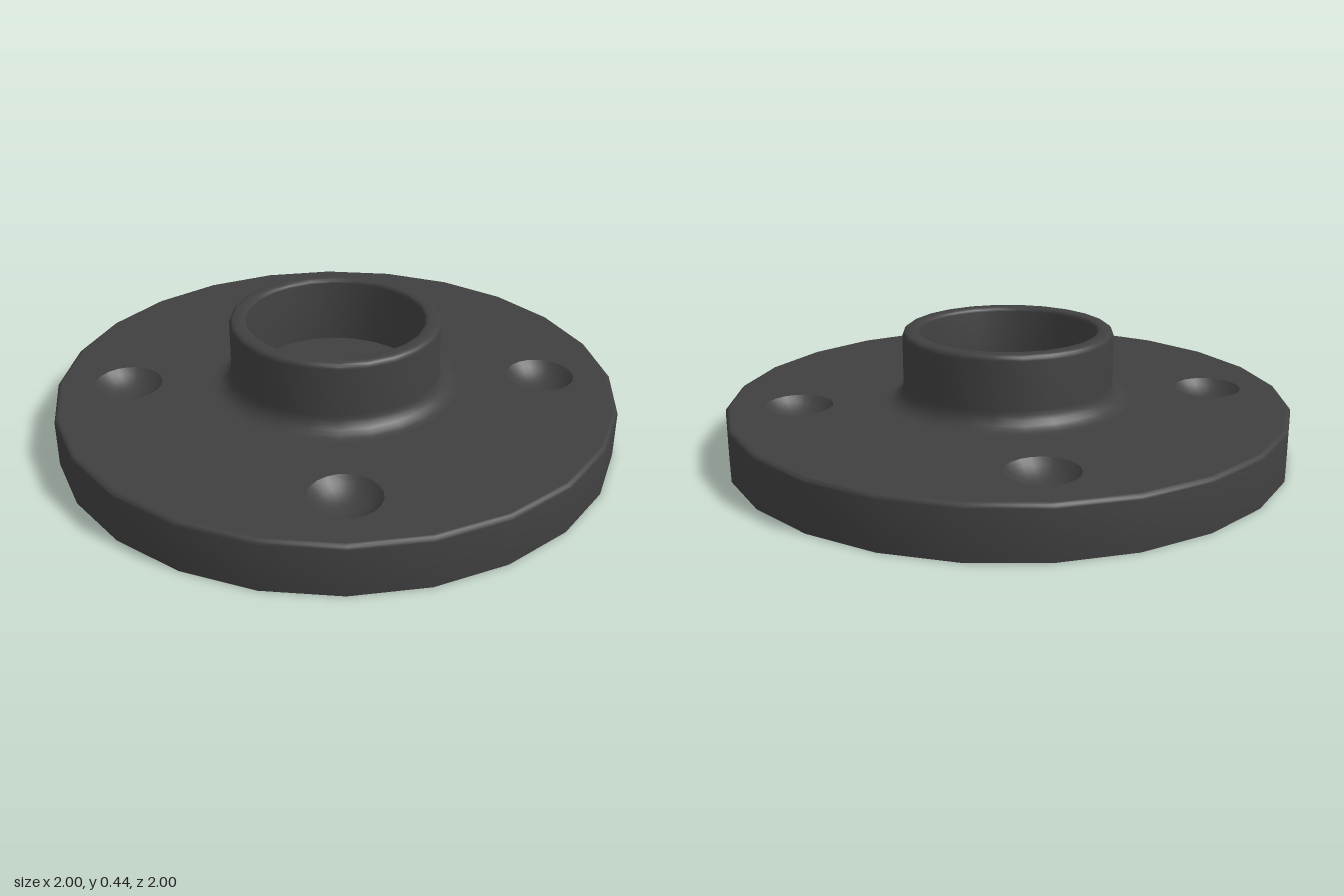
import * as THREE from 'three';
import { toCreasedNormals } from 'three/addons/utils/BufferGeometryUtils.js';

const SIDES = 24;
const TOP = 0.18; // height of the plate's upper face
const FILLET_R = 0.44; // where the hub fillet meets the plate
const RIM_R = 0.985; // upper face radius inside the rounded edge
const DIMPLE = { radius: 0.12, depth: 0.06, sides: 20, ring: 0.745 };

const material = new THREE.MeshStandardMaterial({ color: 0x404040 });

function addMesh(parent, name, geometry) {
  const mesh = new THREE.Mesh(geometry, material);
  mesh.name = name;
  parent.add(mesh);
  return mesh;
}

// Revolved profile: smooth around the axis, sharp at hard edges
function revolve(profile, sides = SIDES) {
  const points = profile.map(([r, y]) => new THREE.Vector2(r, y));
  return toCreasedNormals(new THREE.LatheGeometry(points, sides), 0.7);
}

// Regular polygon outline, vertices starting on +x
function polygon(radius, sides, cx = 0, cy = 0) {
  return Array.from({ length: sides }, (_, i) => {
    const a = (i / sides) * Math.PI * 2;
    return new THREE.Vector2(cx + radius * Math.cos(a), cy + radius * Math.sin(a));
  });
}

// Quarter or partial arc as [r, y] pairs
function arc(cx, cy, radiusX, radiusY, from, to, steps) {
  return Array.from({ length: steps + 1 }, (_, i) => {
    const a = THREE.MathUtils.degToRad(from + ((to - from) * i) / steps);
    return [cx + radiusX * Math.cos(a), cy + radiusY * Math.sin(a)];
  });
}

export function createModel() {
  const flange = new THREE.Group();
  flange.name = 'flange';

  // Closed underside, outer wall and rounded upper edge
  addMesh(flange, 'plateBody', revolve([
    [0, 0], [1, 0],
    ...arc(RIM_R, TOP - 0.015, 0.015, 0.015, 0, 90, 3),
  ]));

  // Upper face, cut out for the hub and the four dimples
  const face = new THREE.Shape(polygon(RIM_R, SIDES));
  face.holes.push(new THREE.Path(polygon(FILLET_R, SIDES)));
  const centres = [0, 1, 2, 3].map((i) => {
    const a = THREE.MathUtils.degToRad(45.5 + i * 90);
    return [DIMPLE.ring * Math.cos(a), DIMPLE.ring * Math.sin(a)];
  });
  for (const [x, y] of centres) {
    face.holes.push(new THREE.Path(polygon(DIMPLE.radius, DIMPLE.sides, x, y)));
  }
  addMesh(flange, 'plateTop', new THREE.ShapeGeometry(face).rotateX(-Math.PI / 2).translate(0, TOP, 0));

  // Shallow spherical bolt dimples
  const { radius, depth, sides } = DIMPLE;
  const sphere = (radius * radius + depth * depth) / (2 * depth);
  const bowl = Array.from({ length: 8 }, (_, i) => {
    const r = radius * (1 - i / 7);
    return [r, sphere - depth - Math.sqrt(sphere * sphere - r * r)];
  });
  const bowlGeometry = revolve(bowl, sides);
  for (const [x, y] of centres) {
    addMesh(flange, 'boltDimple', bowlGeometry).position.set(x, TOP, -y);
  }

  // Raised hub: fillet, outer wall, rounded rim, bore wall and floor
  addMesh(flange, 'hub', revolve([
    ...arc(FILLET_R, TOP + 0.065, FILLET_R - 0.375, 0.065, 270, 180, 6),
    ...arc(0.355, 0.415, 0.02, 0.02, 0, 90, 4),
    ...arc(0.33, 0.42, 0.015, 0.015, 90, 180, 3),
    [0.315, TOP + 0.01],
    [0, TOP + 0.01],
  ]));

  return flange;
}
